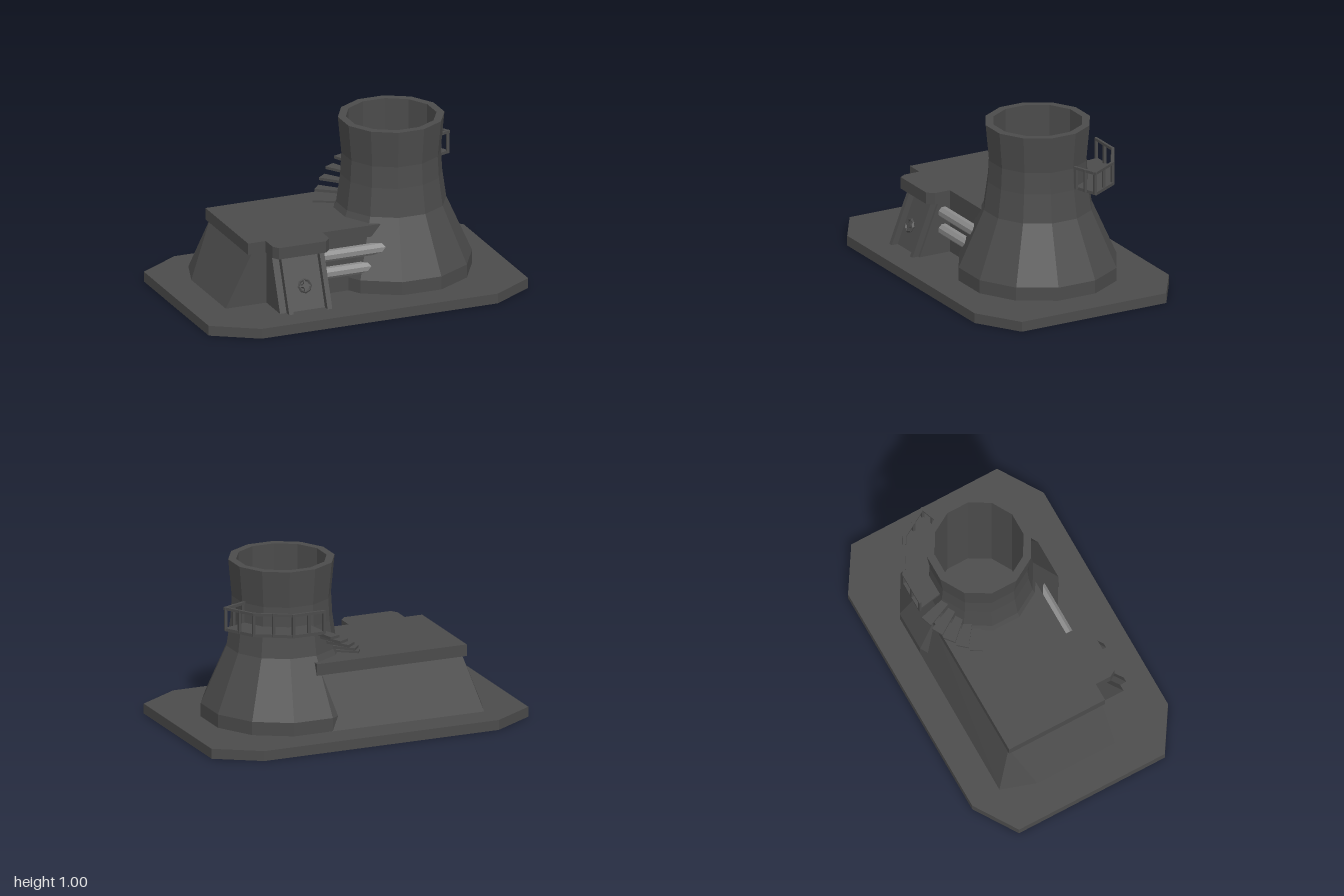
import * as THREE from 'three';
import { ConvexGeometry } from 'three/addons/geometries/ConvexGeometry.js';

export function createModel() {
  const model = new THREE.Group();
  const concrete = new THREE.MeshStandardMaterial({ color: 0x4b4b4b });
  concrete.name = 'dark concrete';
  const metal = new THREE.MeshStandardMaterial({ color: 0x8a8a8a });
  metal.name = 'pale metal';

  const V = (x, y, z) => new THREE.Vector3(x, y, z);
  const add = (name, geometry, material = concrete, parent = model) => {
    const mesh = new THREE.Mesh(geometry, material);
    mesh.name = name;
    parent.add(mesh);
    return mesh;
  };
  const group = (name) => {
    const g = new THREE.Group();
    g.name = name;
    model.add(g);
    return g;
  };
  // Faceted copy of a smooth geometry
  const faceted = (geometry) => {
    const g = geometry.toNonIndexed();
    g.computeVertexNormals();
    return g;
  };
  // Flat slab from an [x, z] outline
  const slab = (outline, y, height) => {
    const shape = new THREE.Shape(outline.map(([x, z]) => new THREE.Vector2(x, -z)));
    return new THREE.ExtrudeGeometry(shape, { depth: height, bevelEnabled: false })
      .rotateX(-Math.PI / 2).translate(0, y, 0);
  };
  // Sloped block between two [x, z] outlines
  const sloped = (bottom, y0, top, y1) => new ConvexGeometry([
    ...bottom.map(([x, z]) => V(x, y0, z)), ...top.map(([x, z]) => V(x, y1, z))]);
  // Square bar between two points
  const bar = (name, p, q, size, parent) => {
    const m = add(name, new THREE.BoxGeometry(size, size, p.distanceTo(q) + size), concrete, parent);
    m.position.copy(p).lerp(q, 0.5);
    m.lookAt(q);
  };

  // Ground plate with cut corners
  add('basePlate', slab([[-1, -0.48], [-0.74, -0.645], [0.74, -0.645], [1, -0.48],
    [1, 0.48], [0.74, 0.645], [-0.74, 0.645], [-1, 0.48]], 0, 0.06));

  // Hollow twelve-sided cooling tower
  const towerX = 0.345;
  const profile = [[0.455, 0.06], [0.455, 0.14], [0.31, 0.48], [0.287, 0.65], [0.28, 0.78],
    [0.3, 1], [0.255, 1], [0.255, 0.06]]
    .map(([r, y]) => new THREE.Vector2(r / Math.cos(Math.PI / 12), y));
  add('coolingTower', faceted(new THREE.LatheGeometry(profile, 12, Math.PI / 12)))
    .position.x = towerX;

  // Building with sloping walls and an overhanging roof
  add('buildingWalls', sloped(
    [[-0.8, 0.26], [-0.8, -0.25], [-0.73, -0.46], [0.28, -0.455], [0.28, 0.26]], 0.06,
    [[-0.635, 0.26], [-0.635, -0.22], [-0.64, -0.35], [0.28, -0.35], [0.28, 0.26]], 0.38));
  add('roof', slab([[-0.665, -0.36], [0.28, -0.36], [0.28, 0.272], [-0.2, 0.272], [-0.2, 0.37],
    [-0.235, 0.41], [-0.53, 0.41], [-0.555, 0.37], [-0.555, 0.272], [-0.665, 0.272]], 0.375, 0.07));

  // Porch block leaning back, with two ribs
  const leaning = (x0, x1, back0, front0, back1, front1) => sloped(
    [[x0, back0], [x1, back0], [x1, front0], [x0, front0]], 0.06,
    [[x0, back1], [x1, back1], [x1, front1], [x0, front1]], 0.378);
  add('porch', leaning(-0.545, -0.22, 0.25, 0.46, 0.25, 0.335));
  for (const x of [-0.49, -0.25]) {
    add('porchRib', leaning(x - 0.014, x + 0.014, 0.44, 0.5, 0.31, 0.375));
  }

  // Valve wheel on the porch front
  const valve = group('valveWheel');
  valve.position.set(-0.38, 0.2, 0.435);
  valve.rotation.x = -Math.atan(0.125 / 0.315);
  add('wheelRim', faceted(new THREE.TorusGeometry(0.037, 0.008, 4, 8)), concrete, valve);
  for (const turn of [0, Math.PI / 2]) {
    add('wheelSpoke', new THREE.BoxGeometry(0.07, 0.01, 0.01), concrete, valve).rotation.z = turn;
  }
  add('wheelStem', faceted(new THREE.CylinderGeometry(0.014, 0.014, 0.05, 8)
    .rotateX(Math.PI / 2).translate(0, 0, -0.02)), concrete, valve);

  // Two pipes from the porch into the tower
  for (const [y, end] of [[0.31, 0.2], [0.205, 0.12]]) {
    const length = end + 0.24;
    add('pipe', faceted(new THREE.CylinderGeometry(0.035, 0.035, length, 8)
      .rotateY(Math.PI / 8).rotateZ(Math.PI / 2)), metal)
      .position.set(end - length / 2, y, 0.302);
  }

  // Points around the tower: angle in degrees from +x towards the back
  const around = (deg, r) => {
    const a = THREE.MathUtils.degToRad(deg);
    return [towerX + r * Math.cos(a), -r * Math.sin(a)];
  };
  const facetPoint = (deg, apothem) => {
    const off = deg - 30 * Math.round(deg / 30);
    return around(deg, apothem / Math.cos(THREE.MathUtils.degToRad(off)));
  };
  const at = ([x, z], y) => V(x, y, z);

  // Balcony floor and railing
  const balcony = group('balcony');
  const corners = [19, 45, 75, 100];
  add('balconyFloor', slab([...corners.map((d) => facetPoint(d, 0.44)),
    ...corners.slice().reverse().map((d) => facetPoint(d, 0.275))], 0.647, 0.018), concrete, balcony);
  const low = 0.66, high = 0.782, railR = 0.432;
  for (let i = 0; i < corners.length - 1; i++) {
    const p = facetPoint(corners[i], railR), q = facetPoint(corners[i + 1], railR);
    bar('handrail', at(p, high), at(q, high), 0.016, balcony);
  }
  for (const d of [19, 32, 45, 60, 75, 87.5, 100]) {
    const p = facetPoint(d, railR);
    bar('railPost', at(p, low), at(p, high), 0.016, balcony);
  }
  // Closed end of the railing, running back to the tower
  bar('endRail', at(around(19, 0.44), high), at(around(18, 0.29), high), 0.016, balcony);
  for (const r of [0.3, 0.37]) {
    bar('endPost', at(around(18, r), low), at(around(18, r), high), 0.016, balcony);
  }

  // Steps winding down from the balcony to the roof
  const steps = group('steps');
  for (let i = 0; i < 5; i++) {
    const d = 109 + i * 10;
    add('step', slab([around(d - 4.5, 0.28), around(d - 4.5, 0.455),
      around(d + 4.5, 0.455), around(d + 4.5, 0.28)], 0.609 - i * 0.042, 0.016), concrete, steps);
  }

  return model;
}
